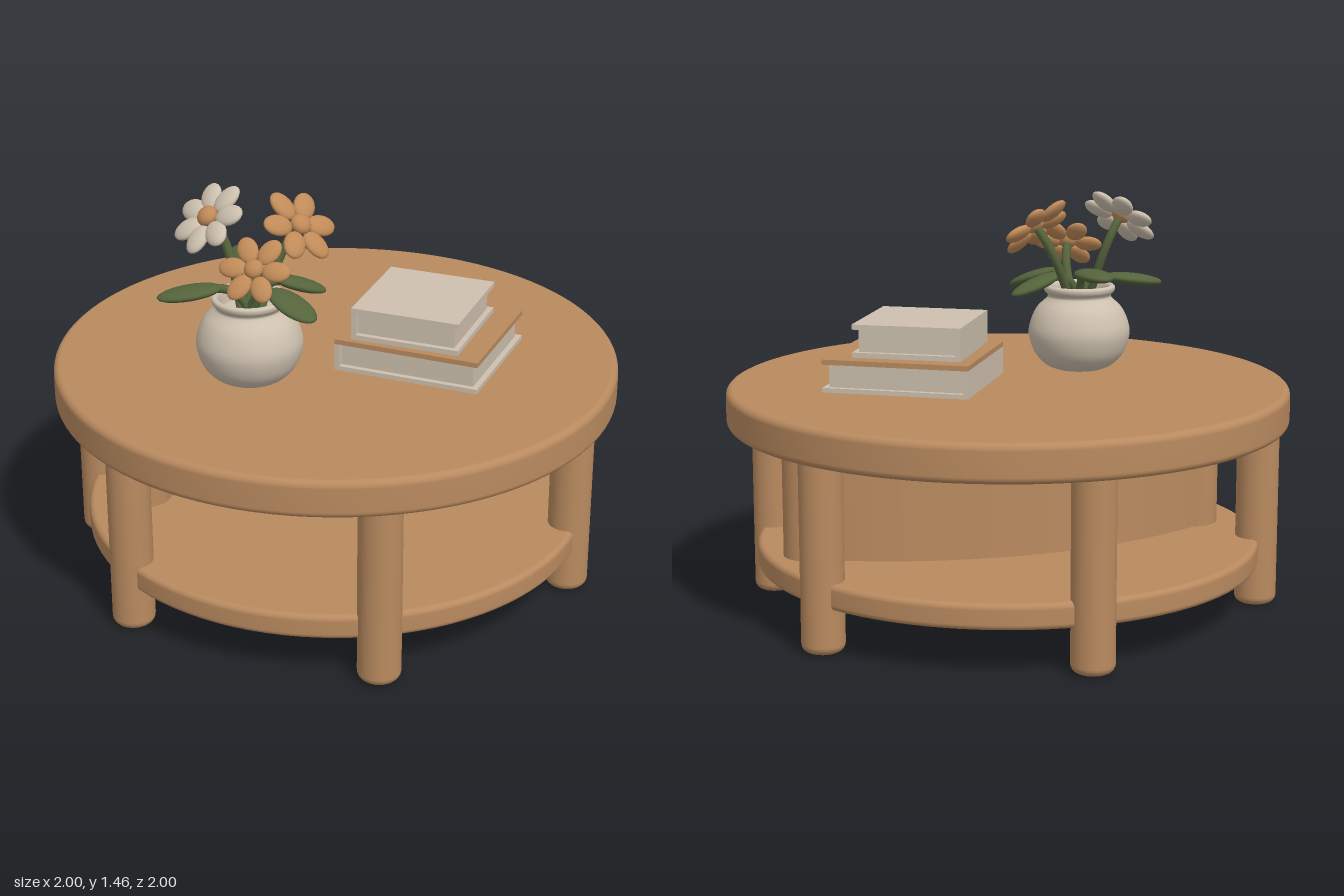
import * as THREE from 'three';

const mat = (name, color) => Object.assign(new THREE.MeshStandardMaterial({ color }), { name });
const UP = new THREE.Vector3(0, 1, 0);

export function createModel() {
  const wood = mat('wood', 0xb98a5f);
  const cream = mat('cream', 0xcdc0ae);
  const orange = mat('orange', 0xc08a58);
  const green = mat('green', 0x55643c);
  const model = new THREE.Group();
  model.name = 'coffeeTable';

  const add = (parent, name, geometry, material, x = 0, y = 0, z = 0) => {
    const mesh = new THREE.Mesh(geometry, material);
    mesh.name = name;
    mesh.position.set(x, y, z);
    parent.add(mesh);
    return mesh;
  };

  // Solid disc or post with rounded top and bottom edges
  const roundedDisc = (r, h, b, segments) => {
    const p = [new THREE.Vector2(0, 0)];
    for (let i = 0; i <= 5; i++) {
      const a = (i / 5) * Math.PI / 2;
      p.push(new THREE.Vector2(r - b + b * Math.sin(a), b - b * Math.cos(a)));
    }
    for (let i = 0; i <= 5; i++) {
      const a = (i / 5) * Math.PI / 2;
      p.push(new THREE.Vector2(r - b + b * Math.cos(a), h - b + b * Math.sin(a)));
    }
    p.push(new THREE.Vector2(0, h));
    return new THREE.LatheGeometry(p, segments);
  };

  // Table top, shelf and six legs
  add(model, 'tableTop', roundedDisc(1, 0.135, 0.025, 96), wood, 0, 0.667, 0);
  add(model, 'shelf', roundedDisc(0.9, 0.09, 0.02, 96), wood, 0, 0.158, 0);
  const legs = [[-0.24, 0.84], [0.65, 0.6], [0.81, -0.31], [0.24, -0.84], [-0.65, -0.59], [-0.8, 0.4]];
  for (const [x, z] of legs) add(model, 'leg', roundedDisc(0.075, 0.69, 0.03, 32), wood, x, 0, z);

  // Curved divider between shelf and top, with a round post at each end
  const R = 1.46, half = 0.516, mid = Math.atan2(-0.668, -0.744), cx = 0.915, cz = 0.783;
  const band = new THREE.Shape();
  band.absarc(cx, cz, R + 0.065, mid - half, mid + half, false);
  band.absarc(cx, cz, R - 0.065, mid + half, mid - half, true);
  const wall = new THREE.ExtrudeGeometry(band, { depth: 0.45, bevelEnabled: false, curveSegments: 40 });
  wall.rotateX(Math.PI / 2);
  add(model, 'curvedDivider', wall, wood, 0, 0.68, 0);
  for (const s of [-1, 1]) {
    const a = mid + s * half;
    add(model, 'dividerPost', new THREE.CylinderGeometry(0.093, 0.093, 0.45, 32), wood,
      cx + R * Math.cos(a), 0.455, cz + R * Math.sin(a));
  }

  // Two stacked books: covers, inset pages and a spine
  const book = (name, x, y, z, w, d, h, turn, topMaterial) => {
    const g = new THREE.Group();
    g.name = name;
    g.position.set(x, y, z);
    g.rotation.y = turn;
    const t = 0.018;
    add(g, 'lowerCover', new THREE.BoxGeometry(w, t, d), cream, 0, t / 2, 0);
    add(g, 'upperCover', new THREE.BoxGeometry(w, t, d), topMaterial, 0, h - t / 2, 0);
    add(g, 'pages', new THREE.BoxGeometry(w - 0.04, h - 2 * t, d - 0.04), cream, 0, h / 2, 0);
    add(g, 'spine', new THREE.BoxGeometry(t, h - 2 * t, d), cream, -w / 2 + t / 2, h / 2, 0);
    model.add(g);
  };
  book('lowerBook', 0.28, 0.8, -0.18, 0.525, 0.495, 0.118, 0.27, wood);
  book('upperBook', 0.267, 0.918, -0.157, 0.39, 0.405, 0.117, 0.29, cream);

  // Round vase with a flared, open neck
  const vx = -0.1, vz = 0.355;
  const profile = [[0, 0], [0.08, 0], [0.125, 0.02], [0.165, 0.065], [0.185, 0.13], [0.178, 0.18], [0.155, 0.228],
    [0.12, 0.262], [0.116, 0.275], [0.128, 0.29], [0.13, 0.305], [0.12, 0.312], [0.105, 0.3], [0.1, 0.25], [0, 0.25]];
  const curve = new THREE.SplineCurve(profile.slice(1, 14).map(p => new THREE.Vector2(...p)));
  const vasePoints = [new THREE.Vector2(0, 0), ...curve.getPoints(48), new THREE.Vector2(0, 0.25)];
  add(model, 'vase', new THREE.LatheGeometry(vasePoints, 48), cream, vx, 0.8, vz);

  // Flattened ellipsoid, used for petals, flower centres and leaves
  const blob = (sx, sy, sz) => new THREE.SphereGeometry(1, 20, 12).scale(sx, sy, sz);

  const stem = (from, bend, to) => add(model, 'stem', new THREE.TubeGeometry(
    new THREE.QuadraticBezierCurve3(from, bend, to), 12, 0.016, 8), green);

  const flower = (name, pos, normal, size, count, petalMaterial, turn) => {
    const head = new THREE.Vector3(...pos), n = new THREE.Vector3(...normal).normalize();
    const g = new THREE.Group();
    g.name = name;
    g.position.copy(head);
    g.quaternion.setFromUnitVectors(UP, n);
    for (let i = 0; i < count; i++) {
      const a = turn + (i / count) * Math.PI * 2, r = size * 0.62;
      const petal = add(g, 'petal', blob(size * 0.4, size * 0.14, size * 0.29), petalMaterial,
        r * Math.cos(a), 0, -r * Math.sin(a));
      petal.rotation.y = a;
    }
    add(g, 'flowerCentre', blob(size * 0.27, size * 0.19, size * 0.27), orange, 0, size * 0.08, 0);
    model.add(g);
    const end = head.clone().addScaledVector(n, -0.01);
    const base = new THREE.Vector3(vx + (head.x - vx) * 0.2, 1.04, vz + (head.z - vz) * 0.2);
    stem(base, head.clone().addScaledVector(n, -0.13), end);
  };
  flower('whiteFlower', [-0.25, 1.365, 0.38], [-0.15, 0.7, 0.65], 0.14, 7, cream, 0.2);
  flower('backOrangeFlower', [-0.01, 1.335, 0.19], [0.68, 0.7, 0.08], 0.14, 6, orange, 0.1);
  flower('frontOrangeFlower', [-0.01, 1.25, 0.43], [0.22, 0.68, 0.68], 0.125, 6, orange, 0.35);

  // Leaves spreading over the rim
  const leaf = (from, to, width) => {
    const a = new THREE.Vector3(...from), b = new THREE.Vector3(...to);
    const dir = b.clone().sub(a), length = dir.length();
    const mesh = add(model, 'leaf', blob(width, 0.022, length / 2), green);
    mesh.position.copy(a).lerp(b, 0.5);
    mesh.lookAt(b);
    stem(new THREE.Vector3(vx, 1.05, vz), new THREE.Vector3(vx, 1.16, vz).lerp(a, 0.4), a.clone().lerp(b, 0.2));
  };
  leaf([-0.14, 1.17, 0.29], [-0.32, 1.17, 0.14], 0.06);
  leaf([0.0, 1.16, 0.36], [0.19, 1.09, 0.36], 0.06);
  leaf([-0.17, 1.14, 0.41], [-0.33, 1.11, 0.57], 0.055);
  leaf([-0.06, 1.16, 0.28], [0.05, 1.09, 0.12], 0.05);
  return model;
}
